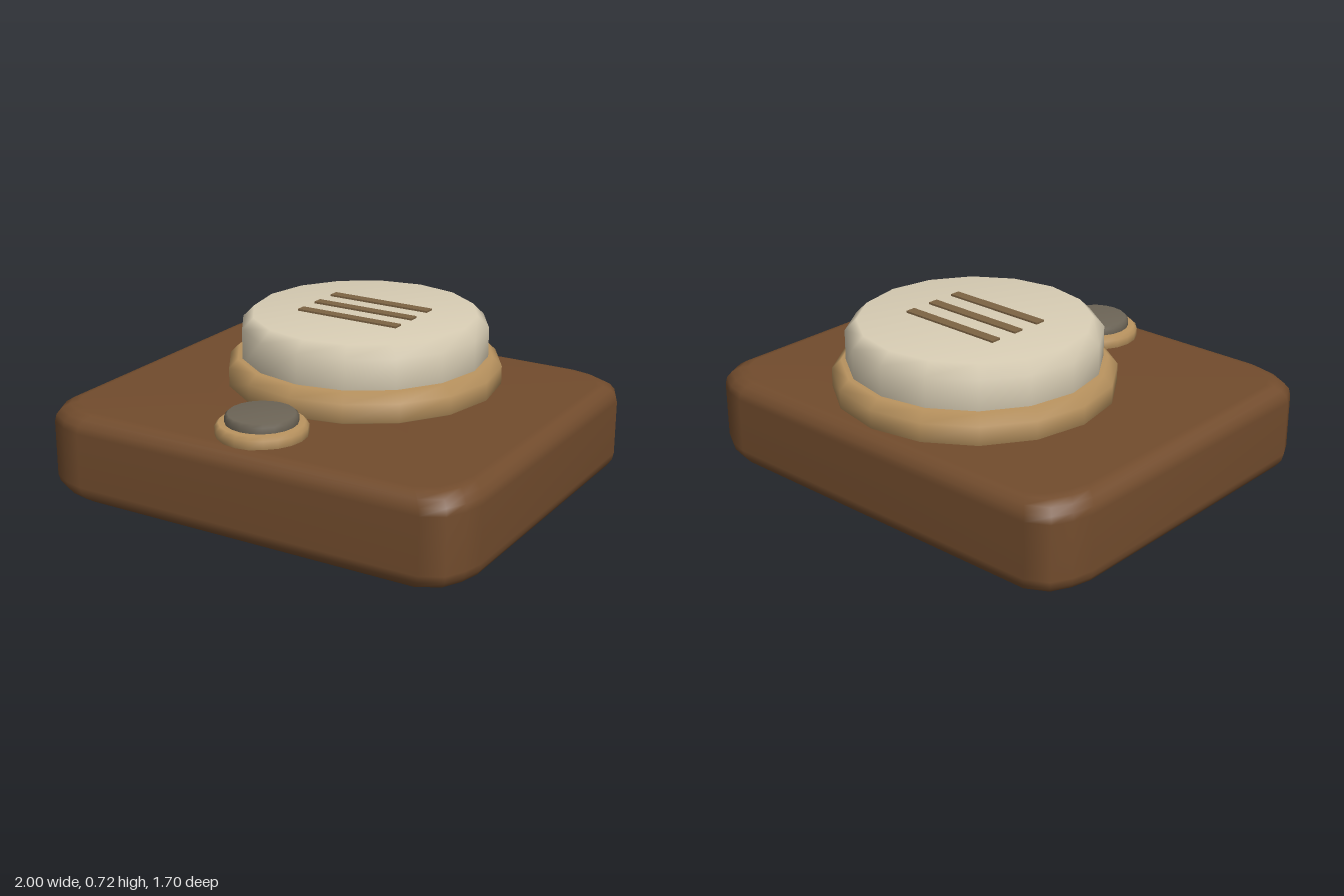
import * as THREE from 'three';

const mat = (name, color) => {
  const m = new THREE.MeshStandardMaterial({ color });
  m.name = name;
  return m;
};

// Closed solid from an outline (x, z; clockwise from above) and rings of [y, inset]
function loft(outline, rings) {
  const n = outline.length, pos = [], idx = [];
  const hx = Math.max(...outline.map(p => p[0]));
  const hz = Math.max(...outline.map(p => p[1]));
  for (const [y, inset] of rings)
    for (const [x, z] of outline) pos.push(x * (1 - inset / hx), y, z * (1 - inset / hz));
  const bottom = rings.length * n, top = bottom + 1, last = (rings.length - 1) * n;
  pos.push(0, rings[0][0], 0, 0, rings[rings.length - 1][0], 0);
  for (let i = 0; i < n; i++) {
    const j = (i + 1) % n;
    for (let r = 0; r < last; r += n)
      idx.push(r + j, r + i, r + n + i, r + j, r + n + i, r + n + j);
    idx.push(bottom, i, j, top, last + j, last + i);
  }
  const g = new THREE.BufferGeometry();
  g.setAttribute('position', new THREE.Float32BufferAttribute(pos, 3));
  g.setIndex(idx);
  g.computeVertexNormals();
  return g;
}

// Disc with chamfered rims
function disc(radius, y0, y1, bevel, sides) {
  const outline = [];
  for (let i = 0; i < sides; i++) {
    const t = i / sides * Math.PI * 2;
    outline.push([radius * Math.sin(t), -radius * Math.cos(t)]);
  }
  return loft(outline, [[y0, bevel], [y0 + bevel * 0.5, 0], [y1 - bevel, 0], [y1, bevel]]);
}

export function createModel() {
  const group = new THREE.Group();
  const wood = mat('dark wood', 0x724c2d);
  const tan = mat('tan trim', 0xb9935f);
  const cream = mat('cream', 0xd9ceb5);
  const grey = mat('warm grey', 0x6d6557);
  const slotBrown = mat('slot brown', 0x7d6444);

  const add = (name, geometry, material, x = 0, y = 0, z = 0) => {
    const mesh = new THREE.Mesh(geometry, material);
    mesh.name = name;
    mesh.position.set(x, y, z);
    group.add(mesh);
  };

  // Slab base: half the outline, repeated by a half turn
  const half = [
    [0.76, -0.85], [0.85, -0.83], [0.94, -0.78], [0.98, -0.70],
    [1.0, 0.61], [0.98, 0.70], [0.94, 0.78], [0.85, 0.83],
  ];
  const outline = [...half, ...half.map(([x, z]) => [-x, -z])];
  const r = 0.08, h = 0.4, steps = 4, rings = [];
  for (let i = 0; i <= steps; i++) {
    const a = i / steps * Math.PI / 2;
    rings.push([r * (1 - Math.cos(a)), r * (1 - Math.sin(a))]);
  }
  rings.push(...rings.map(([y, inset]) => [h - y, inset]).reverse());
  add('base', loft(outline, rings), wood);

  // Large round pad
  add('padRing', disc(0.6, 0.39, 0.53, 0.04, 16), tan, 0, 0, -0.19);
  add('pad', disc(0.54, 0.48, 0.71, 0.05, 16), cream, 0, 0, -0.19);

  // Slots on the pad
  for (let i = -1; i <= 1; i++)
    add('slot', new THREE.BoxGeometry(0.49, 0.02, 0.046), slotBrown, 0, 0.708, -0.19 + i * 0.133);

  // Small button in front
  add('buttonRing', disc(0.19, 0.39, 0.45, 0.015, 20), tan, 0, 0, 0.6);
  add('button', disc(0.15, 0.43, 0.487, 0.012, 20), grey, 0, 0, 0.6);

  return group;
}
